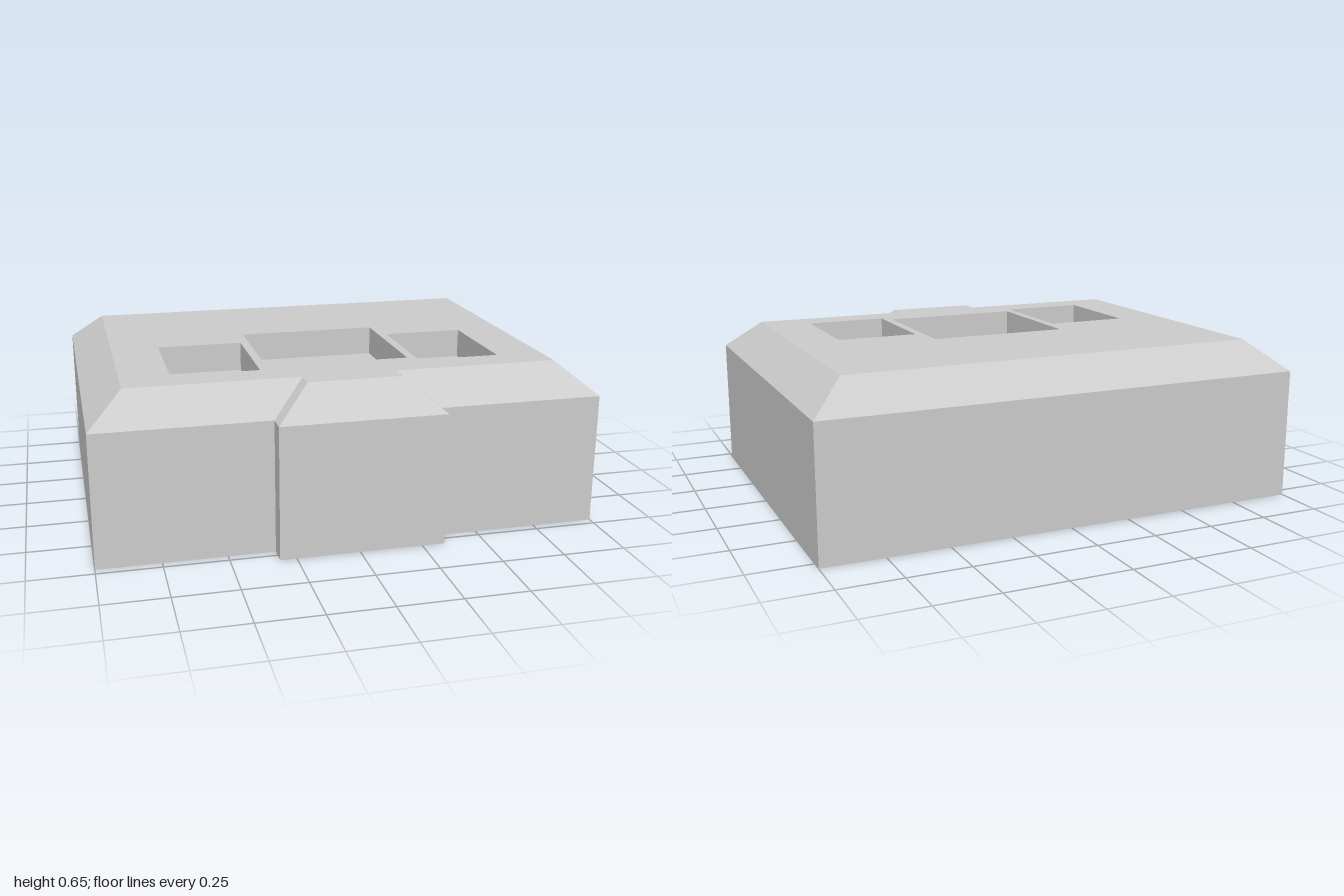
import * as THREE from 'three';

const EAVE = 0.53, TOP = 0.65, INSET = 0.14;

// Footprint with a shallow front bay, as [x, z] points
const footprint = [[-1, -0.8], [1, -0.8], [1, 0.715], [0.34, 0.715],
  [0.34, 0.795], [-0.315, 0.795], [-0.315, 0.715], [-1, 0.715]];

// Parallel inset of a right-angled outline
function insetLoop(loop, d) {
  const n = loop.length;
  return loop.map(([x, z], i) => {
    const [px, pz] = loop[(i + n - 1) % n], [nx, nz] = loop[(i + 1) % n];
    const a = [Math.sign(x - px), Math.sign(z - pz)];
    const b = [Math.sign(nx - x), Math.sign(nz - z)];
    return [x - d * (a[1] + b[1]), z + d * (a[0] + b[0])];
  });
}

// Band of flat quads between two matching loops
function band(lower, y0, upper, y1) {
  const pos = [];
  lower.forEach((p, i) => {
    const j = (i + 1) % lower.length;
    const a = [p[0], y0, p[1]], b = [lower[j][0], y0, lower[j][1]];
    const c = [upper[j][0], y1, upper[j][1]], d = [upper[i][0], y1, upper[i][1]];
    pos.push(...a, ...d, ...c, ...a, ...c, ...b);
  });
  const g = new THREE.BufferGeometry();
  g.setAttribute('position', new THREE.Float32BufferAttribute(pos, 3));
  g.computeVertexNormals();
  return g;
}

// Horizontal sheet facing up (1) or down (-1)
function sheet(loop, y, facing, holes = []) {
  const pts = l => l.map(([x, z]) => new THREE.Vector2(x, -z * facing));
  const shape = new THREE.Shape(pts(loop));
  shape.holes = holes.map(h => new THREE.Path(pts(h)));
  return new THREE.ShapeGeometry(shape).rotateX(-facing * Math.PI / 2).translate(0, y, 0);
}

export function createModel() {
  const group = new THREE.Group();
  const material = new THREE.MeshStandardMaterial({ color: 0xcccccc, flatShading: true });
  const add = (name, geometry, parent = group) => {
    const mesh = new THREE.Mesh(geometry, material);
    mesh.name = name;
    parent.add(mesh);
  };

  // Rectangular roof wells: x0, x1, z0, z1
  const wells = {
    rightWell: [-0.665, -0.315, 0, 0.445],
    centreWell: [-0.28, 0.3, -0.14, 0.4],
    leftWell: [0.335, 0.67, 0, 0.445],
  };
  const holes = [];
  for (const [name, [x0, x1, z0, z1]] of Object.entries(wells)) {
    const loop = [[x0, z0], [x0, z1], [x1, z1], [x1, z0]];
    holes.push(loop);
    const well = new THREE.Group();
    well.name = name;
    add(name + 'Walls', band(loop, EAVE, loop, TOP), well);
    add(name + 'Floor', sheet(loop, EAVE, 1), well);
    group.add(well);
  }

  // Main body: base, walls, sloped roof edge and flat top
  const roof = insetLoop(footprint, INSET);
  add('base', sheet(footprint, 0, -1));
  add('walls', band(footprint, 0, footprint, EAVE));
  add('roofSlopes', band(footprint, EAVE, roof, TOP));
  add('roofTop', sheet(roof, TOP, 1, holes));
  return group;
}
